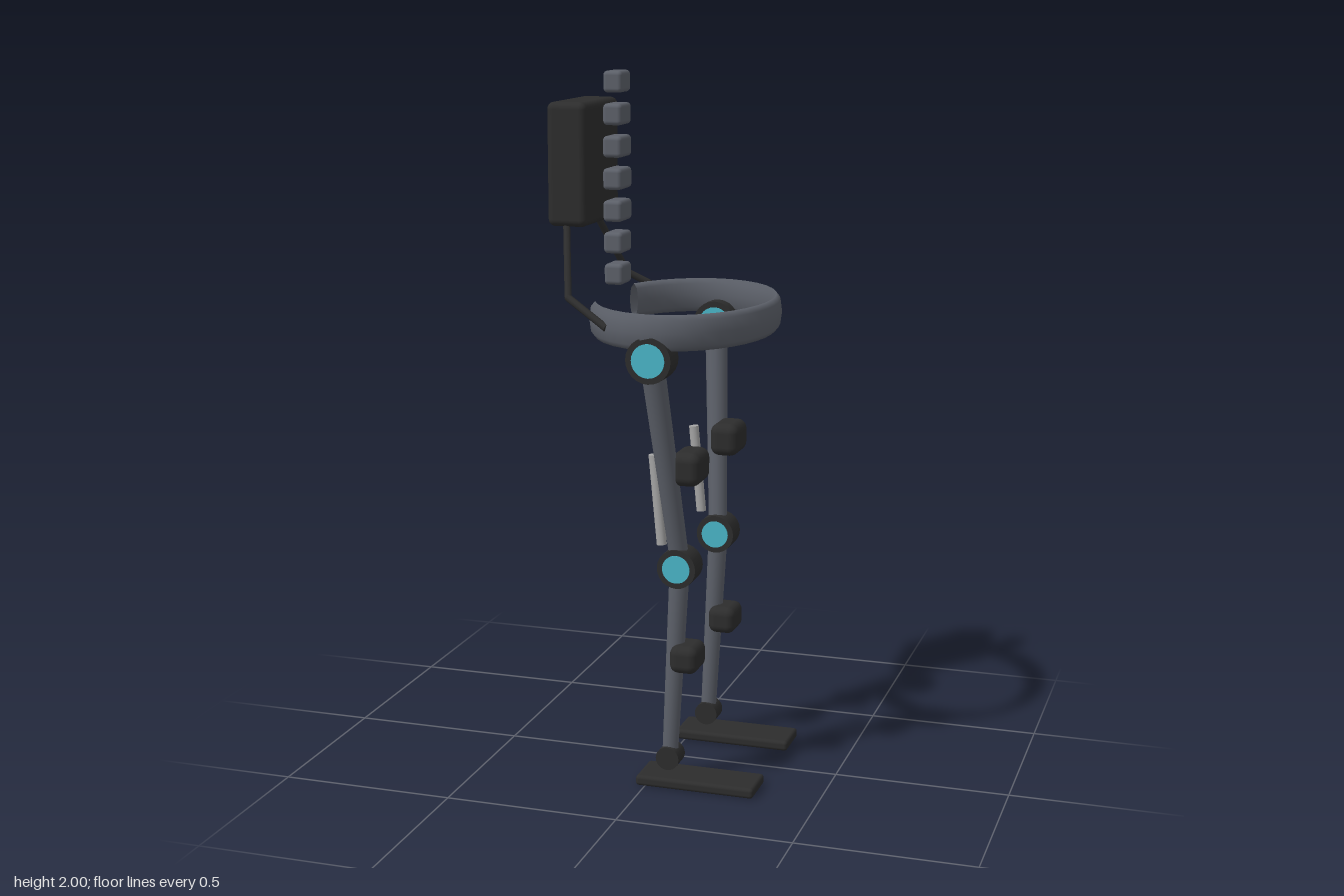
import * as THREE from 'three';
import { RoundedBoxGeometry } from 'three/addons/geometries/RoundedBoxGeometry.js';

const mat = (name, color, extra = {}) => {
  const m = new THREE.MeshStandardMaterial({ color, ...extra });
  m.name = name;
  return m;
};

export function createModel() {
  const black = mat('matte black', 0x2d2d2d);
  const steel = mat('grey steel', 0x5c6069, { side: THREE.DoubleSide });
  const teal = mat('teal accent', 0x4ab6c8);
  const silver = mat('silver', 0xa6a6a6);

  const root = new THREE.Group();
  root.name = 'exoskeleton';

  const add = (parent, name, geo, material, x = 0, y = 0, z = 0) => {
    const m = new THREE.Mesh(geo, material);
    m.name = name;
    m.position.set(x, y, z);
    parent.add(m);
    return m;
  };
  const box = (parent, name, size, r, material, pos) =>
    add(parent, name, new RoundedBoxGeometry(...size, 3, r), material, ...pos);

  // Tapered rod from point a (radius ra) to point b (radius rb)
  const rod = (parent, name, a, b, ra, rb, material, sides = 12) => {
    const p = new THREE.Vector3(...a), q = new THREE.Vector3(...b);
    const dir = q.clone().sub(p);
    const m = add(parent, name, new THREE.CylinderGeometry(rb, ra, dir.length(), sides), material,
      ...p.clone().add(q).multiplyScalar(0.5).toArray());
    m.quaternion.setFromUnitVectors(new THREE.Vector3(0, 1, 0), dir.normalize());
    return m;
  };

  // Round motor with its axis along z and a teal disc on each end
  const joint = (parent, name, x, y, z, r, width, discR) => {
    const g = new THREE.Group();
    g.name = name;
    g.position.set(x, y, z);
    parent.add(g);
    add(g, 'housing', new THREE.CylinderGeometry(r, r, width, 24).rotateX(Math.PI / 2), black);
    if (discR) add(g, 'discs', new THREE.CylinderGeometry(discR, discR, width + 0.006, 24).rotateX(Math.PI / 2), teal);
  };

  // Spine: a column of vertebra blocks, widest in the middle
  for (let i = 0; i < 7; i++) {
    const w = 0.085 + 0.014 * Math.sin((i / 6) * Math.PI);
    box(root, 'vertebra', [0.056, 0.06, w], 0.012, steel, [-0.159, 1.434 + i * 0.0895, 0]);
  }

  // Backpack with label plate and indicator stripes on its rear
  const pack = new THREE.Group();
  pack.name = 'backpack';
  root.add(pack);
  box(pack, 'packBody', [0.115, 0.343, 0.288], 0.02, black, [-0.26, 1.748, 0]);
  add(pack, 'labelPlate', new THREE.BoxGeometry(0.006, 0.038, 0.15), silver, -0.318, 1.857, 0);
  for (const y of [1.76, 1.71, 1.66])
    add(pack, 'indicatorStripe', new THREE.BoxGeometry(0.006, 0.01, 0.2), teal, -0.318, y, 0);

  // Waist belt: open oval ring, a tube stretched upwards
  class BeltCurve extends THREE.Curve {
    getPoint(t, target = new THREE.Vector3()) {
      const a = (t * 2 - 1) * Math.PI * 5 / 6;
      return target.set(0.045 + 0.246 * Math.cos(a), 0, 0.335 * Math.sin(a));
    }
  }
  const belt = new THREE.TubeGeometry(new BeltCurve(), 28, 0.0165, 8, false);
  belt.scale(1, 3, 1);
  add(root, 'waistBelt', belt, steel, 0, 1.329, 0);

  // Both sides
  for (const s of [1, -1]) {
    const leg = new THREE.Group();
    leg.name = s > 0 ? 'frontSideLeg' : 'rearSideLeg';
    root.add(leg);
    const z = s * 0.19;

    // Bent bracket between backpack and belt
    const bracket = [[-0.27, 1.595, s * 0.113], [-0.216, 1.398, s * 0.251], [-0.09, 1.328, s * 0.297]];
    for (let i = 0; i < 2; i++)
      rod(root, 'packBracket', bracket[i], bracket[i + 1], 0.0105, 0.0105, black, 8);
    add(root, 'bracketElbow', new THREE.SphereGeometry(0.0105, 8, 6), black, ...bracket[1]);

    // Joints
    joint(leg, 'hipJoint', 0.045, 1.254, s * 0.312, 0.064, 0.071, 0.047);
    joint(leg, 'kneeJoint', 0.086, 0.644, z, 0.056, 0.074, 0.04);
    joint(leg, 'ankleJoint', 0.058, 0.078, z, 0.034, 0.062, 0);

    // Limb tubes
    rod(leg, 'thigh', [0.044, 1.228, s * 0.301], [0.085, 0.66, s * 0.189], 0.033, 0.027, steel);
    rod(leg, 'shin', [0.085, 0.63, z], [0.058, 0.09, z], 0.029, 0.023, steel);

    // Slim actuator behind the thigh
    rod(leg, 'actuator', [0.033, 0.703, z], [0.009, 0.96, z], 0.0145, 0.0145, silver);

    // Padded cuffs and foot plate
    box(leg, 'thighCuff', [0.085, 0.095, 0.127], 0.027, black, [0.116, 0.934, z]);
    box(leg, 'shinCuff', [0.082, 0.08, 0.112], 0.025, black, [0.109, 0.382, z]);
    box(leg, 'footPlate', [0.347, 0.03, 0.129], 0.01, black, [0.1465, 0.015, z]);
  }
  return root;
}
